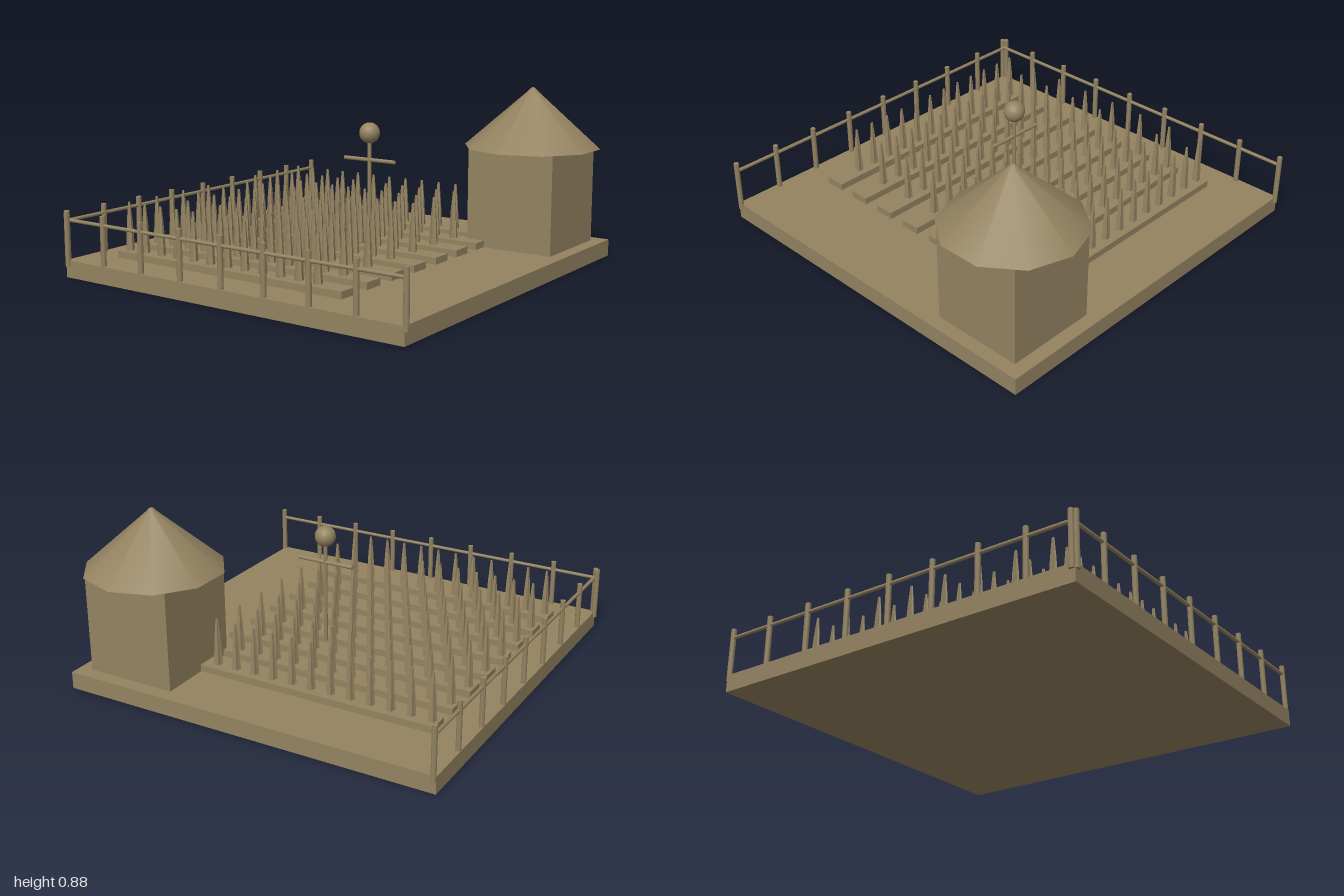
import * as THREE from 'three';

export function createModel() {
  const model = new THREE.Group();
  model.name = 'farmPlot';
  const tan = new THREE.MeshStandardMaterial({ color: 0x948361 });
  tan.name = 'tan';
  const flatTan = tan.clone();
  flatTan.flatShading = true;

  function add(name, geo, x, y, z, parent = model, mat = tan) {
    const mesh = new THREE.Mesh(geo, mat);
    mesh.name = name;
    mesh.position.set(x, y, z);
    parent.add(mesh);
    return mesh;
  }
  function addGroup(name) {
    const g = new THREE.Group();
    g.name = name;
    model.add(g);
    return g;
  }

  // Ground slab
  add('ground', new THREE.BoxGeometry(1.936, 0.085, 1.936), -0.008, 0.0425, 0.012);

  // Hut: square walls under a ten-sided roof with a softly rounded tip
  const hut = addGroup('hut');
  add('walls', new THREE.BoxGeometry(0.464, 0.5, 0.464), 0.66, 0.33, -0.655, hut);
  const roofProfile = [[0.3425, 0], [0.025, 0.281], [0.012, 0.296], [0, 0.301]]
    .map(([r, y]) => new THREE.Vector2(r, y));
  add('roof', new THREE.LatheGeometry(roofProfile, 10), 0.66, 0.58, -0.655, hut);
  const eaves = new THREE.CircleGeometry(0.3425, 10, Math.PI / 2).rotateX(Math.PI / 2);
  add('roofUnderside', eaves, 0.66, 0.58, -0.655, hut);

  // Tapering stalk with five ridges
  const stalkGeo = new THREE.CylinderGeometry(1, 1, 0.24, 10, 2);
  const p = stalkGeo.attributes.position;
  for (let i = 0; i < p.count; i++) {
    const x = p.getX(i), y = p.getY(i), z = p.getZ(i);
    const ridge = Math.cos(5 * Math.atan2(x, z)) > 0 ? 1 : 0.72;
    const r = (y < -0.1 ? 0.023 : y > 0.1 ? 0.006 : 0.015) * ridge;
    p.setXYZ(i, x * r, y === 0 ? 0.02 : y, z * r);
  }
  stalkGeo.computeVertexNormals();

  // Planted beds
  const bedGeo = new THREE.BoxGeometry(1.335, 0.045, 0.104);
  for (let row = 0; row < 8; row++) {
    const bed = addGroup('cropRow');
    const z = -0.59 + row * 0.191;
    add('soilBed', bedGeo, -0.143, 0.0965, z, bed);
    for (let i = 0; i < 12; i++) {
      add('stalk', stalkGeo, -0.778 + i * 0.1035, 0.235, z, bed, flatTan);
    }
  }

  // Fence along the front and one side
  const fence = addGroup('fence');
  const postGeo = new THREE.CylinderGeometry(0.0135, 0.0135, 0.265, 8);
  const railGeo = new THREE.CylinderGeometry(0.009, 0.009, 1.936, 8);
  for (let i = 0; i < 9; i++) {
    add('frontPost', postGeo, -0.977 + i * 0.242, 0.1925, 0.965, fence);
    add('sidePost', postGeo, -0.963, 0.1925, -0.956 + i * 0.242, fence);
  }
  add('frontRail', railGeo, -0.008, 0.28, 0.965, fence).rotation.z = Math.PI / 2;
  add('sideRail', railGeo, -0.963, 0.28, 0.012, fence).rotation.x = Math.PI / 2;

  // Scarecrow
  const scarecrow = addGroup('scarecrow');
  add('pole', new THREE.CylinderGeometry(0.01, 0.01, 0.52, 8), 0.058, 0.37, -0.087, scarecrow);
  add('arms', new THREE.CylinderGeometry(0.01, 0.01, 0.3, 8), 0.058, 0.53, -0.087, scarecrow)
    .rotation.z = Math.PI / 2;
  add('head', new THREE.SphereGeometry(0.052, 16, 12), 0.058, 0.665, -0.087, scarecrow);

  return model;
}
